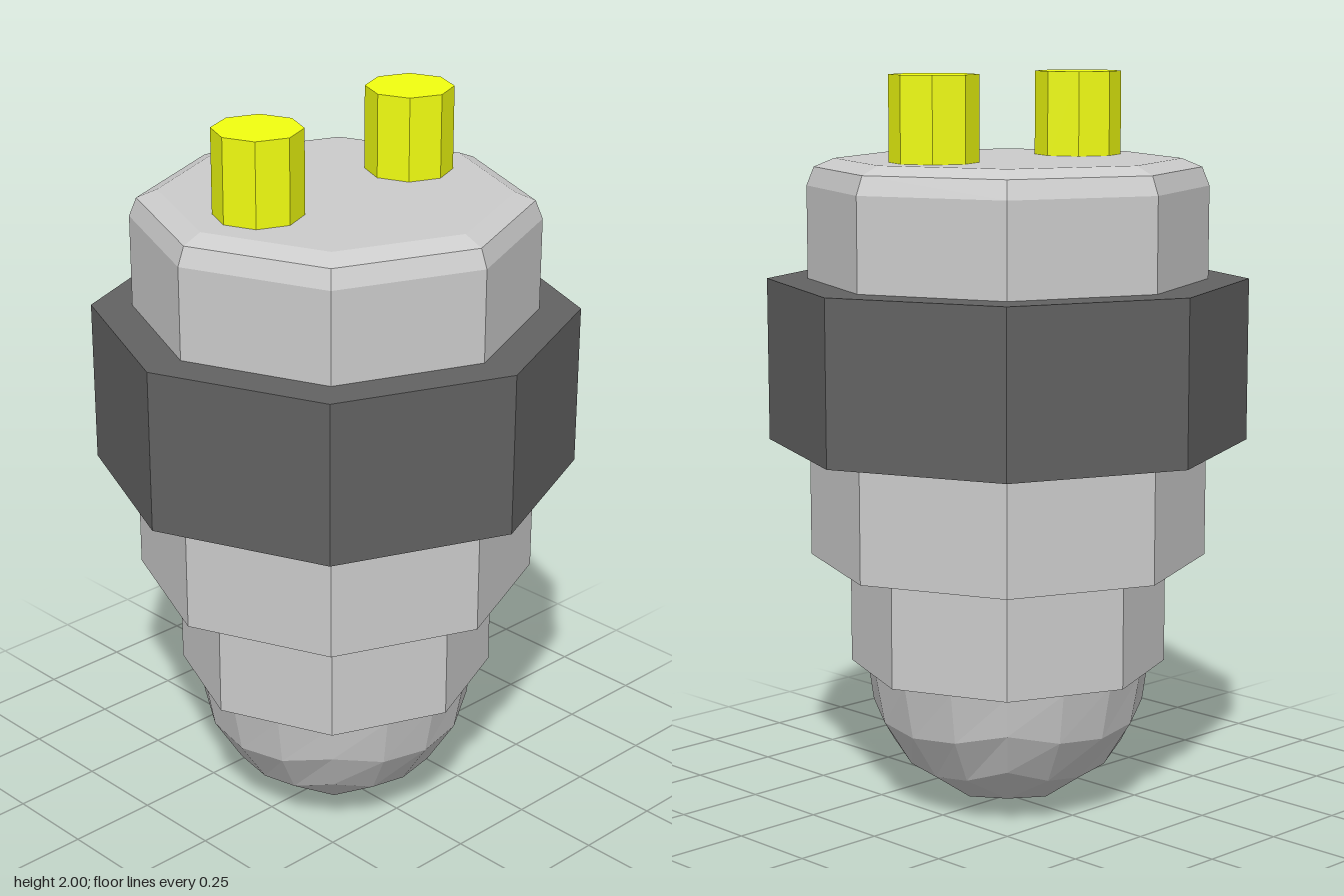
import * as THREE from 'three';

const SIDES = 8;
const grey = new THREE.MeshStandardMaterial({ color: 0xcccccc, flatShading: true });
const dark = new THREE.MeshStandardMaterial({ color: 0x626262, flatShading: true });
const yellow = new THREE.MeshStandardMaterial({ color: 0xf2ff10, flatShading: true });

function faceted(name, geometry, material) {
  const flat = geometry.toNonIndexed();
  flat.computeVertexNormals();
  const mesh = new THREE.Mesh(flat, material);
  mesh.name = name;
  return mesh;
}

// Eight-sided solid standing between two heights
function prism(name, radius, y0, y1, material) {
  const geometry = new THREE.CylinderGeometry(radius, radius, y1 - y0, SIDES);
  geometry.translate(0, (y0 + y1) / 2, 0);
  return faceted(name, geometry, material);
}

// Ball made of six curved square grids, with evenly spaced angles
function quadBall(radius, segments) {
  const geometry = new THREE.BoxGeometry(2, 2, 2, segments, segments, segments);
  const position = geometry.attributes.position;
  const bend = (v) => Math.tan((v * Math.PI) / 4);
  const p = new THREE.Vector3();
  for (let i = 0; i < position.count; i++) {
    p.fromBufferAttribute(position, i);
    p.set(bend(p.x), bend(p.y), bend(p.z)).setLength(radius);
    position.setXYZ(i, p.x, p.y, p.z);
  }
  return geometry;
}

export function createModel() {
  const model = new THREE.Group();
  model.name = 'twoPinBulb';

  // Rounded tip, its upper half sunk into the neck
  const tip = faceted('tip', quadBall(0.388, 4), grey);
  tip.position.y = 0.388;
  model.add(tip);

  model.add(prism('neck', 0.432, 0.39, 0.69, grey));

  // Main body with a softened top rim
  const profile = [[0, 0.69], [0.54, 0.69], [0.54, 1.7], [0.52, 1.75], [0.465, 1.773], [0, 1.773]]
    .map(([x, y]) => new THREE.Vector2(x, y));
  model.add(faceted('body', new THREE.LatheGeometry(profile, SIDES), grey));

  model.add(prism('collar', 0.65, 1.01, 1.45, dark));

  // Front and back contact pins
  for (const side of [1, -1]) {
    const pin = prism(side > 0 ? 'frontPin' : 'backPin', 0.118, 1.76, 2, yellow);
    pin.position.z = side * 0.27;
    model.add(pin);
  }
  return model;
}
